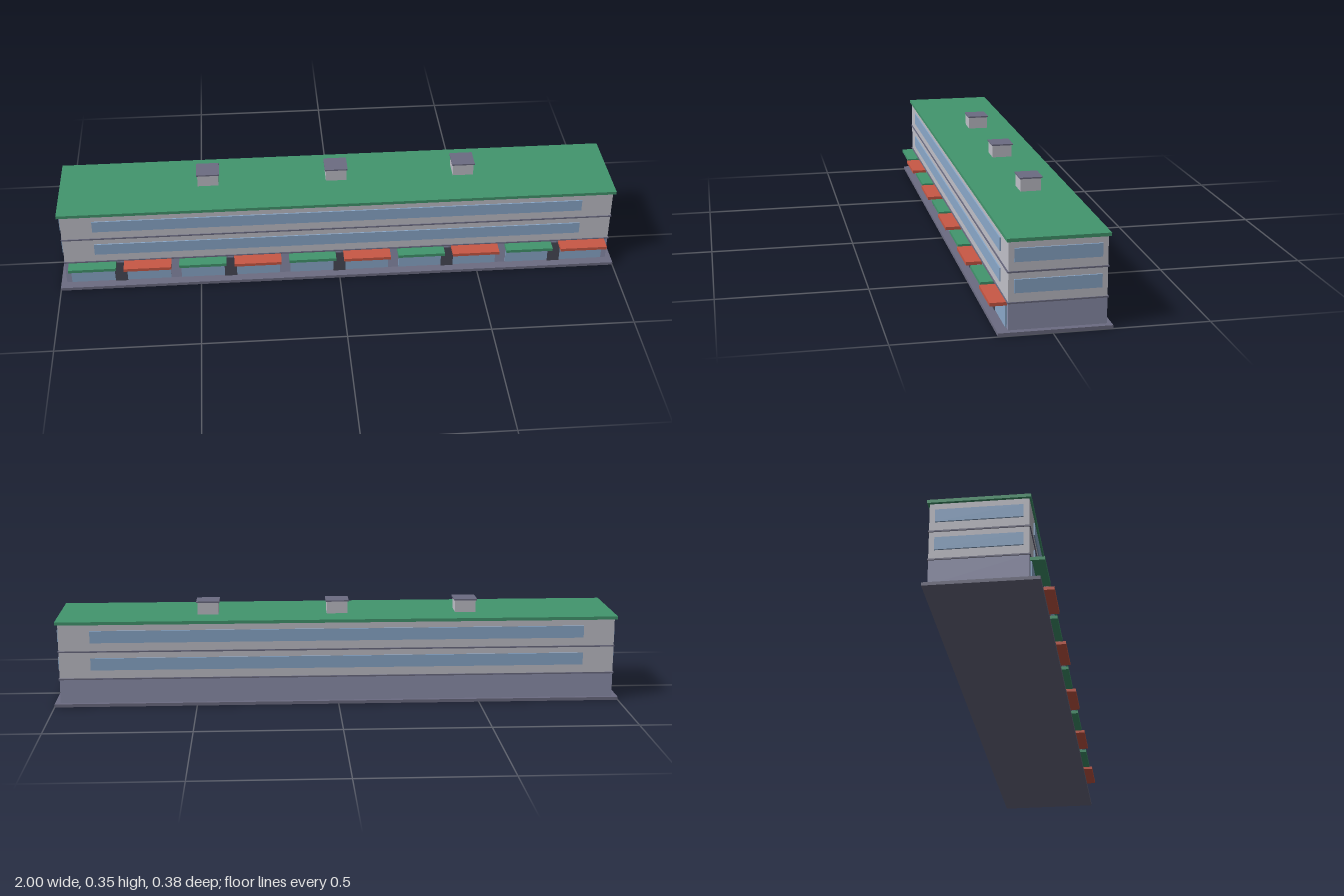
import * as THREE from 'three';

const mat = (name, color) => {
  const m = new THREE.MeshStandardMaterial({ color });
  m.name = name;
  return m;
};

export function createModel() {
  const wall = mat('pale grey wall', 0xc1c1ca);
  const shopWall = mat('violet grey wall', 0x8d90ad);
  const slate = mat('slate trim', 0x6c6c82);
  const glass = mat('blue glass', 0x8ba9cb);
  const green = mat('green', 0x42966e);
  const red = mat('red', 0xc95845);
  const dark = mat('dark door', 0x484957);

  const model = new THREE.Group();
  model.name = 'shoppingBlock';

  // box given by its limits on each axis
  const box = (name, material, x0, x1, y0, y1, z0, z1) => {
    const mesh = new THREE.Mesh(new THREE.BoxGeometry(x1 - x0, y1 - y0, z1 - z0), material);
    mesh.position.set((x0 + x1) / 2, (y0 + y1) / 2, (z0 + z1) / 2);
    mesh.name = name;
    model.add(mesh);
  };

  const W = 0.98, back = -0.174, front = 0.135;

  // plinth, floors and roof
  box('plinth', slate, -1, 1, 0, 0.011, -0.189, 0.17);
  box('groundFloor', shopWall, -W, W, 0.011, 0.098, back, front);
  box('upperFloors', wall, -W, W, 0.098, 0.294, back, front);
  box('roof', green, -0.99, 0.99, 0.293, 0.304, -0.181, 0.141);

  // upper storeys: floor band and ribbon windows on all four sides
  for (const y of [0.098, 0.196]) {
    box('floorBand', slate, -W - 0.003, W + 0.003, y - 0.0025, y + 0.0025, back - 0.003, front + 0.003);
    const y0 = y + 0.032, y1 = y + 0.075;
    box('frontWindow', glass, -0.87, 0.87, y0, y1, front, front + 0.004);
    box('backWindow', glass, -0.87, 0.87, y0, y1, back - 0.005, back);
    box('leftWindow', glass, W, W + 0.005, y0, y1, -0.156, 0.117);
    box('rightWindow', glass, -W - 0.005, -W, y0, y1, -0.156, 0.117);
  }

  // ten shop bays with alternating awnings
  const pitch = 0.196;
  for (let i = 0; i < 10; i++) {
    const x = (i - 4.5) * pitch;
    box('shopWindow', glass, x - 0.079, x + 0.079, 0.014, 0.086, front, front + 0.005);
    if (i % 2) box('redAwning', red, x - 0.084, x + 0.084, 0.086, 0.097, front, 0.189);
    else box('greenAwning', green, x - 0.084, x + 0.084, 0.084, 0.095, front, 0.18);
  }

  // doors between pairs of bays
  for (let i = -2; i <= 2; i++) {
    const x = i * 2 * pitch;
    box('door', dark, x - 0.022, x + 0.022, 0.011, 0.09, front, front + 0.006);
  }

  // rooftop vents with caps
  for (const x of [-0.46, 0, 0.46]) {
    box('roofVent', wall, x - 0.037, x + 0.037, 0.303, 0.348, -0.079, -0.009);
    box('ventCap', slate, x - 0.041, x + 0.041, 0.347, 0.352, -0.083, -0.006);
  }

  return model;
}
